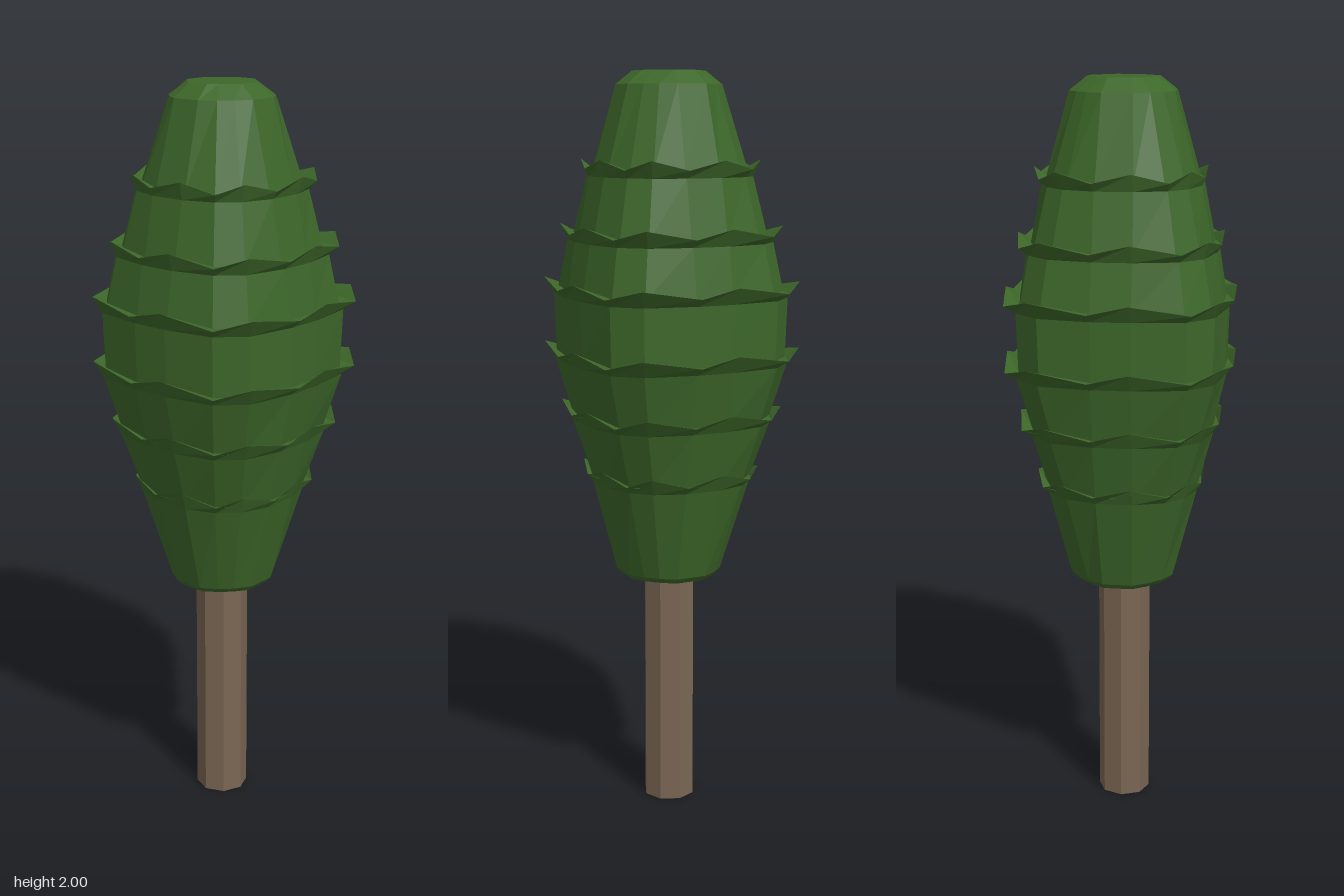
import * as THREE from 'three';

const SIDES = 16;

// One rounded-square ring of 16 corners; small rings are closer to an octagon.
function ring(y, r, wave = 0, offsetZ = 0.005) {
  const t = Math.min(1, Math.max(0, (r - 0.09) / 0.2));
  const mid = THREE.MathUtils.lerp(0.33, 0.175, t) * r;
  const cornerLong = THREE.MathUtils.lerp(0.78, 0.925, t) * r;
  const cornerShort = THREE.MathUtils.lerp(0.56, 0.69, t) * r;
  const quarter = [[r, -mid], [r, mid], [cornerLong, cornerShort], [cornerShort, cornerLong]];
  const points = [];
  for (let q = 0; q < 4; q++) {
    const c = [1, 0, -1, 0][q], s = [0, 1, 0, -1][q];
    quarter.forEach(([x, z], k) => {
      const dy = k % 2 ? -wave : wave;
      points.push(new THREE.Vector3(x * c - z * s, y + dy, x * s + z * c + offsetZ));
    });
  }
  return points;
}

// Skin a stack of rings from bottom to top and close both ends.
function loft(rings) {
  const pos = [];
  const tri = (...corners) => corners.forEach((v) => pos.push(v.x, v.y, v.z));
  const centre = (pts) => pts.reduce((a, p) => a.add(p), new THREE.Vector3()).divideScalar(pts.length);
  const first = rings[0], last = rings[rings.length - 1];
  const bottom = centre(first), top = centre(last);
  for (let j = 0; j < SIDES; j++) {
    const k = (j + 1) % SIDES;
    for (let i = 0; i < rings.length - 1; i++) {
      const low = rings[i], up = rings[i + 1];
      tri(low[k], low[j], up[j]);
      tri(low[k], up[j], up[k]);
    }
    tri(bottom, first[j], first[k]);
    tri(top, last[k], last[j]);
  }
  const geometry = new THREE.BufferGeometry();
  geometry.setAttribute('position', new THREE.Float32BufferAttribute(pos, 3));
  geometry.computeVertexNormals();
  return geometry;
}

export function createModel() {
  const tree = new THREE.Group();
  tree.name = 'tree';

  // Trunk: plain eight-sided post
  const trunk = new THREE.Mesh(
    new THREE.CylinderGeometry(0.071, 0.071, 0.7, 8),
    new THREE.MeshStandardMaterial({ color: 0x7a6653, flatShading: true })
  );
  trunk.name = 'trunk';
  trunk.position.set(0, 0.35, 0.007);
  tree.add(trunk);

  // Foliage: spindle with six wavy upturned lips
  // tier: [height under lip, radius under lip, tip radius, radius inside lip]
  const tiers = [
    [0.915, 0.205, 0.222, 0.207],
    [1.08, 0.247, 0.267, 0.246],
    [1.24, 0.279, 0.302, 0.275],
    [1.415, 0.279, 0.302, 0.27],
    [1.56, 0.25, 0.267, 0.238],
    [1.73, 0.208, 0.222, 0.196],
  ];
  const rings = [ring(0.65, 0.127), ring(0.665, 0.14)];
  for (const [y, under, tip, inside] of tiers) {
    rings.push(ring(y, under), ring(y + 0.032, tip, 0.012, 0), ring(y + 0.018, inside));
  }
  rings.push(ring(1.965, 0.136), ring(2, 0.092));

  const foliage = new THREE.Mesh(
    loft(rings),
    new THREE.MeshStandardMaterial({ color: 0x3d672a, flatShading: true })
  );
  foliage.name = 'foliage';
  tree.add(foliage);

  return tree;
}
